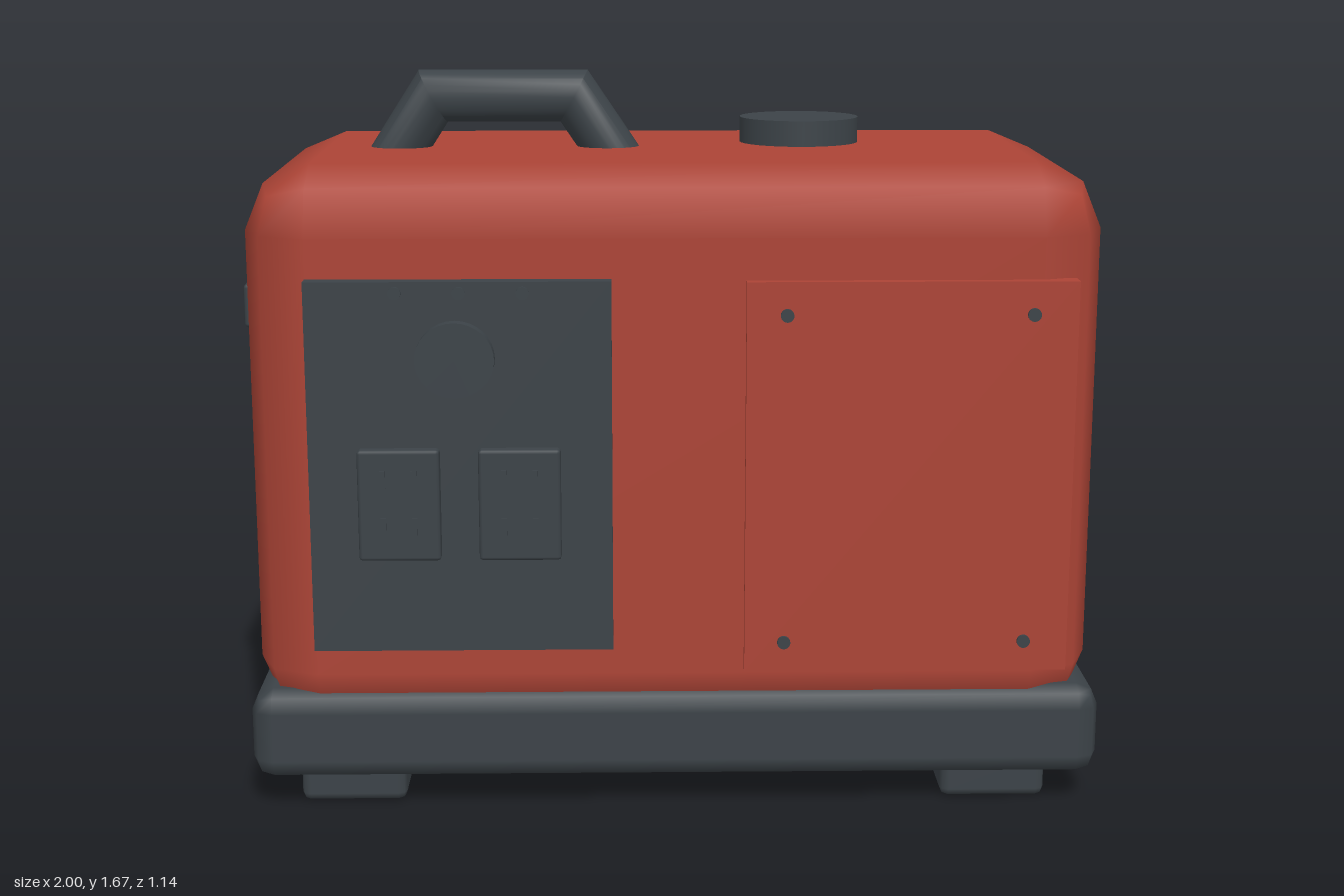
import * as THREE from 'three';
import { RoundedBoxGeometry } from 'three/addons/geometries/RoundedBoxGeometry.js';
import { toCreasedNormals } from 'three/addons/utils/BufferGeometryUtils.js';

export function createModel() {
  const model = new THREE.Group();
  model.name = 'portableGenerator';
  const red = new THREE.MeshStandardMaterial({ color: 0xac4436 });
  red.name = 'red housing';
  const dark = new THREE.MeshStandardMaterial({ color: 0x3c4348 });
  dark.name = 'dark plastic';

  const add = (name, geometry, material, x, y, z) => {
    const mesh = new THREE.Mesh(geometry, material);
    mesh.name = name;
    mesh.position.set(x, y, z);
    model.add(mesh);
    return mesh;
  };
  // Boxes given by their extents; a radius gives a two-step rounded edge
  const block = (name, material, [x0, x1], [y0, y1], [z0, z1], radius = 0) => {
    const size = [x1 - x0, y1 - y0, z1 - z0];
    const geometry = radius
      ? new RoundedBoxGeometry(...size, 1, radius)
      : new THREE.BoxGeometry(...size);
    return add(name, geometry, material, (x0 + x1) / 2, (y0 + y1) / 2, (z0 + z1) / 2);
  };
  // Disc facing the front
  const frontDisc = (name, x, y, z0, z1, rx, ry = rx) => {
    const geometry = new THREE.CylinderGeometry(1, 1, z1 - z0, 32);
    geometry.rotateX(Math.PI / 2).scale(rx, ry, 1);
    return add(name, geometry, dark, x, y, (z0 + z1) / 2);
  };

  // Housing, base tray and feet
  block('housing', red, [-0.96, 0.985], [0.18, 1.49], [-0.53, 0.49], 0.15);
  block('baseTray', dark, [-0.97, 1], [0.07, 0.285], [-0.54, 0.5], 0.05);
  for (const x of [-0.74, 0.762]) {
    for (const z of [-0.385, 0.35]) {
      block('foot', dark, [x - 0.123, x + 0.123], [0, 0.12], [z - 0.095, z + 0.095], 0.02);
    }
  }

  // Carrying handle: a round bar with mitred bends
  const path = [[-0.68, 1.42], [-0.557, 1.61], [-0.22, 1.61], [-0.092, 1.42]]
    .map(([x, y]) => new THREE.Vector2(x, y));
  const sides = path.slice(1).map((p, i) => {
    const t = p.clone().sub(path[i]).normalize();
    return new THREE.Vector2(t.y, -t.x);
  });
  const mitres = path.map((p, i) => {
    const a = sides[Math.max(i - 1, 0)];
    const m = a.clone().add(sides[Math.min(i, 2)]).normalize();
    return m.divideScalar(m.dot(a));
  });
  const bar = new THREE.CylinderGeometry(1, 1, 3, 24, 3, true);
  const pos = bar.attributes.position;
  const radius = 0.062;
  for (let v = 0; v < pos.count; v++) {
    const i = Math.round(pos.getY(v) + 1.5);
    const u = pos.getX(v) * radius;
    pos.setXYZ(v, path[i].x + mitres[i].x * u, path[i].y + mitres[i].y * u, pos.getZ(v) * radius);
  }
  add('carryHandle', toCreasedNormals(bar, 0.6), dark, 0, 0, -0.022);

  // Fuel cap
  const cap = new THREE.CylinderGeometry(1, 1, 0.06, 32).scale(0.142, 1, 0.133);
  add('fuelCap', cap, dark, 0.32, 1.53, -0.022);

  // Control panel with lamps, dial and sockets
  block('controlPanel', dark, [-0.81, -0.13], [0.4, 1.25], [0.47, 0.527]);
  for (const x of [-0.605, -0.465, -0.325]) frontDisc('indicatorLamp', x, 1.23, 0.555, 0.561, 0.014);
  frontDisc('dial', -0.476, 1.082, 0.54, 0.572, 0.088, 0.084);
  for (const x of [-0.607, -0.337]) {
    block('socket', dark, [x - 0.092, x + 0.092], [0.62, 0.875], [0.52, 0.556], 0.008);
    for (const dx of [-0.035, 0.035]) {
      for (const y of [0.7, 0.81]) {
        block('socketSlot', dark, [x + dx - 0.006, x + dx + 0.006], [y - 0.02, y + 0.02], [0.554, 0.56]);
      }
    }
  }

  // Service door with corner screws
  block('serviceDoor', red, [0.17, 0.91], [0.34, 1.245], [0.47, 0.513]);
  for (const x of [0.26, 0.81]) {
    for (const y of [0.41, 1.17]) frontDisc('doorScrew', x, y, 0.508, 0.52, 0.015);
  }

  // Rear grille with tilted slats
  block('grillePlate', dark, [-0.53, 0.77], [0.38, 1.22], [-0.541, -0.515]);
  for (let i = 0; i < 14; i++) {
    const slat = add('grilleSlat', new THREE.BoxGeometry(1.3, 0.01, 0.046), dark, 0.12, 0.41 + i * 0.06, -0.549);
    slat.rotation.x = 0.3;
  }

  // Starter grip and recoil cover on the right side
  block('starterGrip', dark, [-1, -0.94], [1.08, 1.185], [-0.145, 0.165], 0.01);
  const cover = new THREE.CylinderGeometry(1, 1, 0.04, 40).rotateZ(Math.PI / 2).scale(1, 0.225, 0.235);
  add('recoilCover', cover, dark, -0.952, 0.835, -0.018);

  return model;
}
